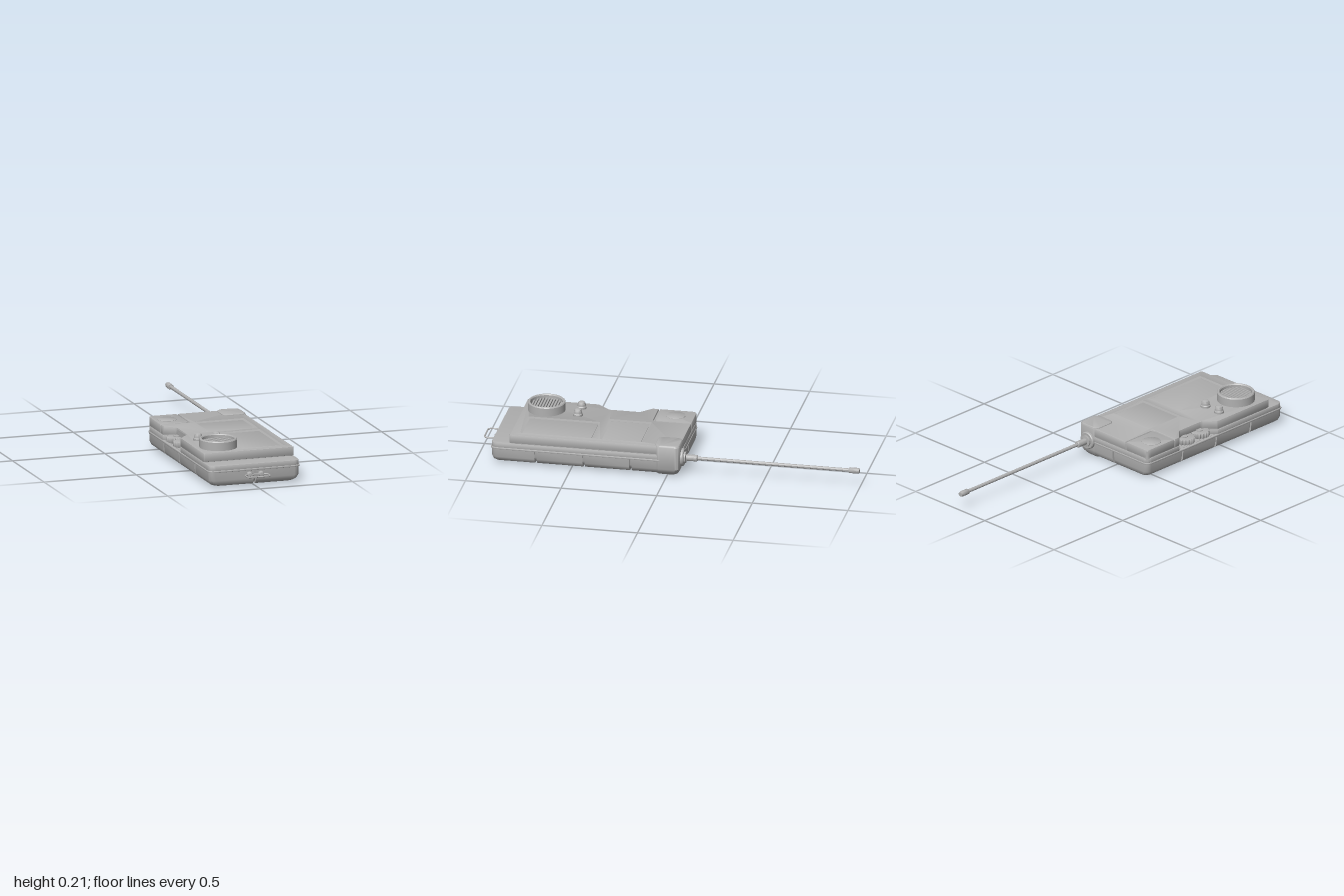
import * as THREE from 'three';
import { toCreasedNormals } from 'three/addons/utils/BufferGeometryUtils.js';

const grey = new THREE.MeshStandardMaterial({ color: 0xb0b0b0 });
grey.name = 'grey plastic';

const FRONT = 0.918, BACK = -0.065, HALF = 0.246;

function add(parent, name, geometry, x = 0, y = 0, z = 0) {
  const mesh = new THREE.Mesh(toCreasedNormals(geometry, 0.6), grey);
  mesh.name = name;
  mesh.position.set(x, y, z);
  parent.add(mesh);
  return mesh;
}

// Closed outline in plan from [x, z, cornerRadius] points
function outline(points, Type = THREE.Shape) {
  const shape = new Type();
  const v = points.map(([x, z]) => new THREE.Vector2(x, -z));
  points.forEach(([, , r = 0], i) => {
    const p = v[i];
    const before = v[(i + v.length - 1) % v.length], after = v[(i + 1) % v.length];
    const a = p.clone().add(before.clone().sub(p).setLength(r));
    const b = p.clone().add(after.clone().sub(p).setLength(r));
    if (i === 0) shape.moveTo(a.x, a.y);
    else shape.lineTo(a.x, a.y);
    if (r > 0) shape.quadraticCurveTo(p.x, p.y, b.x, b.y);
  });
  shape.closePath();
  return shape;
}

const rect = (x0, x1, z0, z1, r) => [[x0, z0, r], [x1, z0, r], [x1, z1, r], [x0, z1, r]];

// Horizontal slab with chamfered edges
function slab(points, y0, y1, bevel, holes = []) {
  const shape = outline(points);
  holes.forEach((h) => shape.holes.push(outline(h, THREE.Path)));
  const geometry = new THREE.ExtrudeGeometry(shape, {
    depth: y1 - y0 - 2 * bevel, bevelEnabled: bevel > 0, bevelThickness: bevel,
    bevelSize: bevel, bevelOffset: -bevel, bevelSegments: 2, curveSegments: 6,
  });
  return geometry.rotateX(-Math.PI / 2).translate(0, y0 + bevel, 0);
}

// Rounded rectangle cross-section at height y
function ring(y, x0, x1, z0, z1, r) {
  const points = [];
  const corners = [[x1 - r, z1 - r], [x0 + r, z1 - r], [x0 + r, z0 + r], [x1 - r, z0 + r]];
  corners.forEach(([cx, cz], q) => {
    for (let i = 0; i <= 6; i++) {
      const a = (q + i / 6) * Math.PI / 2;
      points.push([cx + r * Math.cos(a), y, cz + r * Math.sin(a)]);
    }
  });
  return points;
}

// Skin over stacked cross-sections, capped at both ends
function loft(rings) {
  const n = rings[0].length, index = [], top = (rings.length - 1) * n;
  for (let k = 0; k < rings.length - 1; k++) {
    for (let i = 0; i < n; i++) {
      const a = k * n + i, b = k * n + (i + 1) % n;
      index.push(a, a + n, b + n, a, b + n, b);
    }
  }
  for (let i = 1; i < n - 1; i++) index.push(0, i, i + 1, top, top + i + 1, top + i);
  const geometry = new THREE.BufferGeometry();
  geometry.setAttribute('position', new THREE.Float32BufferAttribute(rings.flat(2), 3));
  geometry.setIndex(index);
  return geometry;
}

const lathe = (profile, segments = 32) =>
  new THREE.LatheGeometry(profile.map(([r, y]) => new THREE.Vector2(r, y)), segments);

export function createModel() {
  const model = new THREE.Group();
  model.name = 'handheldRadio';

  // Lower shell: core showing in the grooves, plus eight tiles
  const levels = [[0.009, 0.036], [0.013, 0.024], [0.023, 0.01], [0.04, 0.002], [0.086, 0]];
  const shellRings = (inset, lift) => levels.map(([y, d]) => ring(y + lift,
    -HALF + d + inset, HALF - d - inset, BACK + d * 0.6 + inset, FRONT - d * 0.6 - inset, 0.03));
  add(model, 'lowerCore', loft(shellRings(0.009, 0.008)));
  const cuts = [-1, 0.19, 0.434, 0.685, 2], gap = 0.006;
  const clamp = THREE.MathUtils.clamp;
  for (const [x0, x1] of [[-1, -gap], [gap, 1]]) {
    for (let k = 0; k < 4; k++) {
      const rings = shellRings(0, 0).map((points) => points.map(([x, y, z]) =>
        [clamp(x, x0, x1), y, clamp(z, cuts[k] + gap, cuts[k + 1] - gap)]));
      add(model, 'lowerTile', loft(rings));
    }
  }

  // Rim band between the halves
  add(model, 'rimBand', slab(rect(-0.25, 0.25, BACK - 0.003, FRONT + 0.004, 0.035), 0.083, 0.093, 0.003));

  // Upper shell, with a side notch for the thumbwheels
  const notch = [[-HALF, 0.45, 0.008], [-0.187, 0.385, 0.012], [-0.187, 0.225, 0.012], [-HALF, 0.17, 0.008]];
  const body = (x, front, back, r) => [
    [-x, back, r], [x, back, r], [x, front, r], [-x, front, r],
    ...notch.map(([nx, nz, nr]) => [Math.max(nx, -x), nz, nr])];
  add(model, 'upperSkirt', slab(body(HALF, FRONT, BACK, 0.035), 0.088, 0.118, 0.004));
  add(model, 'upperCore', slab(body(0.242, 0.818, BACK + 0.003, 0.02), 0.108, 0.157, 0));

  // Face plate with two recessed panels, cut around the corner plate
  const face = [
    [-0.084, BACK + 0.001, 0.003], [0.244, BACK + 0.001, 0.03], [0.244, 0.822, 0.008], [-0.244, 0.822, 0.008],
    ...notch.map(([nx, nz, nr]) => [Math.max(nx, -0.244), nz, nr]),
    [-0.244, 0.137, 0.003], [-0.084, 0.137, 0.02]];
  add(model, 'facePlate', slab(face, 0.12, 0.166, 0.005, [
    rect(-0.068, 0.21, 0.132, 0.362, 0.012), rect(-0.02, 0.21, 0.392, 0.778, 0.012)]));
  add(model, 'upperPanelInset', slab(rect(-0.054, 0.197, 0.146, 0.349, 0.006), 0.15, 0.159, 0.001));
  add(model, 'lowerPanelInset', slab(rect(-0.007, 0.197, 0.405, 0.765, 0.006), 0.15, 0.159, 0.001));
  add(model, 'cornerPlate', slab(
    [[-0.244, BACK + 0.001, 0.03], [-0.091, BACK + 0.001, 0.003], [-0.091, 0.13, 0.018], [-0.244, 0.13, 0.003]],
    0.12, 0.166, 0.004));
  add(model, 'cornerButton', lathe([[0.05, 0.16], [0.05, 0.167], [0.047, 0.169], [0, 0.169]]), -0.175, 0, 0.035);

  // Ribbed thumbwheels
  const gear = [];
  for (let i = 0; i < 72; i++) {
    const a = i / 72 * Math.PI * 2, r = i % 4 < 2 ? 0.055 : 0.049;
    gear.push([r * Math.cos(a), r * Math.sin(a)]);
  }
  for (const z of [0.255, 0.362]) {
    add(model, 'thumbwheel', slab(gear, 0.1, 0.127, 0.002), -0.195, 0, z);
    add(model, 'thumbwheelHub', new THREE.CylinderGeometry(0.018, 0.018, 0.04, 20), -0.195, 0.111, z);
  }

  // Speaker ring with a slatted grille
  const speaker = new THREE.Group();
  speaker.name = 'speaker';
  speaker.position.set(-0.125, 0, 0.7);
  model.add(speaker);
  add(speaker, 'speakerRing', lathe([[0.097, 0.16], [0.097, 0.209], [0.093, 0.214], [0.087, 0.214],
    [0.083, 0.209], [0.083, 0.185], [0, 0.185]], 36));
  for (let i = -5; i <= 5; i++) {
    const z = i * 0.0145;
    add(speaker, 'grilleSlat', new THREE.BoxGeometry(2 * Math.sqrt(0.084 ** 2 - z * z), 0.012, 0.007), 0, 0.19, z);
  }

  // Domed knobs
  for (const x of [-0.175, -0.077]) {
    add(model, 'knob', lathe([[0.025, 0.16], [0.025, 0.176], [0.021, 0.18], [0.021, 0.19],
      [0.017, 0.2], [0.009, 0.205], [0, 0.206]], 20), x, 0, 0.527);
  }

  // Antenna housing wrapped round the back corner
  const housing = [[0.002, 0.038, 0], [0.006, 0.03, 0], [0.022, 0.012, 0], [0.042, 0, 0],
    [0.162, 0, 0], [0.169, 0.004, 0.001], [0.172, 0.01, 0.005]];
  add(model, 'antennaHousing', loft(housing.map(([y, d, e]) =>
    ring(y, 0.122 + e, 0.25 - d, BACK - 0.002 + d * 0.6, 0.064 - e, 0.028))));

  // Telescopic antenna, pointing backwards
  const antenna = lathe([[0.046, 0.055], [0.046, 0.076], [0.042, 0.081], [0.03, 0.081], [0.03, 0.09],
    [0.017, 0.092], [0.017, 0.146], [0.014, 0.15], [0.009, 0.15], [0.009, 0.942], [0.013, 0.942],
    [0.015, 0.946], [0.015, 0.985], [0.012, 0.997], [0, 1]], 20);
  add(model, 'antenna', antenna.rotateX(-Math.PI / 2), 0.18, 0.09, 0);

  // Strap loop held by two studs
  const path = new THREE.CurvePath();
  const loop = outline(rect(-0.062, 0.062, 0.932, 0.991, 0.022)).getPoints(6);
  const points = loop.map((p) => new THREE.Vector3(p.x, 0.063, -p.y));
  if (points[0].distanceTo(points[points.length - 1]) < 1e-5) points.pop();
  points.forEach((p, i) => path.add(new THREE.LineCurve3(p, points[(i + 1) % points.length])));
  add(model, 'strapLoop', new THREE.TubeGeometry(path, 96, 0.004, 8, true));
  for (const x of [-0.031, 0.031]) {
    const stud = lathe([[0.014, 0.9], [0.014, 0.932], [0.011, 0.939], [0, 0.942]], 16);
    add(model, 'strapStud', stud.rotateX(Math.PI / 2), x, 0.063, 0);
  }
  return model;
}
